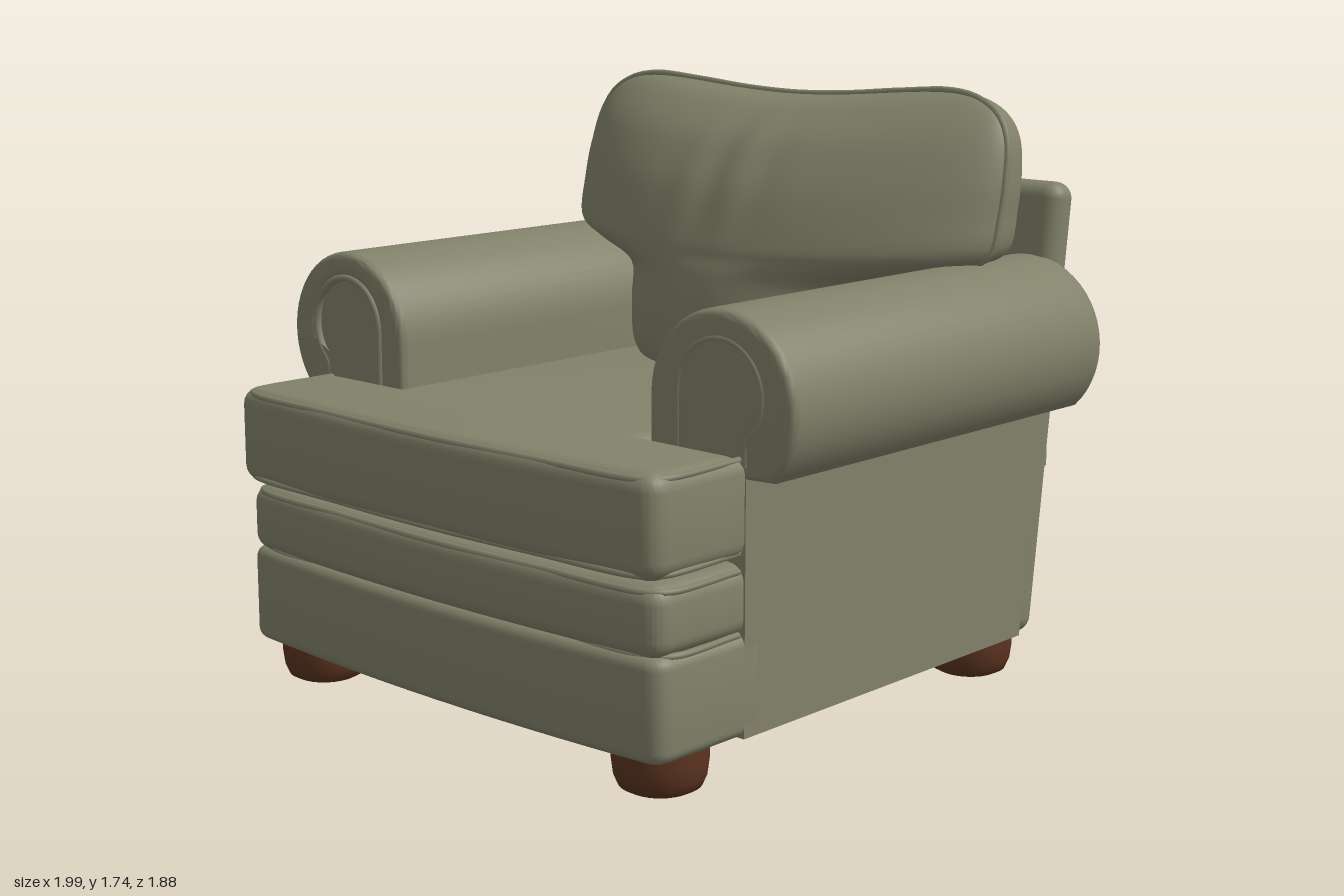
import * as THREE from 'three';
import { toCreasedNormals } from 'three/addons/utils/BufferGeometryUtils.js';
import { RoundedBoxGeometry } from 'three/addons/geometries/RoundedBoxGeometry.js';

export function createModel() {
  const chair = new THREE.Group();
  chair.name = 'armchair';
  const leather = new THREE.MeshStandardMaterial({ color: 0x82826b });
  leather.name = 'sage leather';
  const wood = new THREE.MeshStandardMaterial({ color: 0x5c3420 });
  wood.name = 'brown wood';

  const add = (name, geo, mat = leather) => {
    const mesh = new THREE.Mesh(geo, mat);
    mesh.name = name;
    chair.add(mesh);
    return mesh;
  };
  const v3 = (x, y, z) => new THREE.Vector3(x, y, z);
  const piping = (name, pts, r = 0.01) =>
    add(name, new THREE.TubeGeometry(new THREE.CatmullRomCurve3(pts), 80, r, 6));

  // Extrusion whose rounded edges stay inside the outline
  const padded = (shape, length, b) => toCreasedNormals(new THREE.ExtrudeGeometry(shape, {
    depth: length - 2 * b, bevelThickness: b, bevelSize: b, bevelOffset: -b,
    bevelSegments: 5, curveSegments: 24,
  }).translate(0, 0, b), 0.7);
  // Horizontal pad: outline in x/z, from y0 up to y1
  const pad = (name, shape, y0, y1, b) =>
    add(name, padded(shape, y1 - y0, b).rotateX(Math.PI / 2).translate(0, y1, 0));

  // Plan outline with a gently bowed front; tail = half-width of the part behind the arms
  const plan = (w, zBack, zFront, tail, zTail) => {
    const s = new THREE.Shape();
    if (tail) {
      s.moveTo(-tail, zTail).lineTo(tail, zTail).lineTo(tail, zBack);
    } else s.moveTo(-w, zBack);
    s.lineTo(w, zBack).lineTo(w, zFront - 0.1);
    s.quadraticCurveTo(w, zFront - 0.045, w - 0.05, zFront - 0.035);
    s.quadraticCurveTo(0, zFront + 0.035, -w + 0.05, zFront - 0.035);
    s.quadraticCurveTo(-w, zFront - 0.045, -w, zFront - 0.1);
    s.lineTo(-w, zBack);
    if (tail) s.lineTo(-tail, zBack);
    s.closePath();
    return s;
  };

  // Body with raked back, drawn in z/y and extruded across
  const side = new THREE.Shape([[0.55, 0.12], [-0.7, 0.12], [-0.8, 0.84], [0.55, 0.84]]
    .map(([z, y]) => new THREE.Vector2(z, y)));
  add('body', new THREE.ExtrudeGeometry(side, { depth: 1.66, bevelEnabled: false })
    .rotateY(-Math.PI / 2).translate(0.83, 0, 0));

  // Back panel
  const back = add('backPanel', new RoundedBoxGeometry(1.66, 1.355, 0.11, 5, 0.05));
  back.position.set(0, 0.79, -0.807);
  back.rotation.x = -0.12;

  // Front rolls and T-shaped seat cushion
  pad('lowerFrontPanel', plan(0.83, 0.5, 0.915), 0.12, 0.405, 0.035);
  pad('upperFrontRoll', plan(0.825, 0.5, 0.915), 0.395, 0.59, 0.05);
  pad('seatCushion', plan(0.835, 0.56, 0.94, 0.49, -0.6), 0.605, 0.885, 0.05);

  // Piping around the front edges
  [[0.868, 0.94], [0.622, 0.94], [0.573, 0.915], [0.402, 0.9]].forEach(([y, z]) => {
    const half = [[0.815, 0.56], [0.815, z - 0.1], [0.775, z - 0.055], [0.4, z - 0.03]];
    piping('frontPiping', [
      ...half.map(([x, pz]) => v3(-x, y, pz)),
      v3(0, y, z - 0.017),
      ...half.reverse().map(([x, pz]) => v3(x, y, pz)),
    ]);
  });

  // Rolled arms with an arched front panel set into a padded band
  for (const s of [1, -1]) {
    const label = s > 0 ? 'left' : 'right';
    const arch = (cx, cy, r, end, before, after) => {
      const pts = [...before];
      for (let i = 0; i <= 32; i++) {
        const a = Math.PI + (end - Math.PI) * i / 32;
        pts.push([cx + r * Math.cos(a), cy + r * Math.sin(a)]);
      }
      return [...pts, ...after].map(([x, y]) => new THREE.Vector2(s * x, y));
    };
    const outer = arch(0.745, 1.0, 0.252, -0.8, [[0.493, 0.62]], [[0.825, 0.815], [0.825, 0.62]]);
    const inner = arch(0.745, 1.03, 0.145, -0.6, [[0.6, 0.85]], [[0.835, 0.91], [0.835, 0.85]]);
    const roll = new THREE.Shape(outer);
    roll.holes.push(new THREE.Path(inner));
    add(label + 'Arm', padded(roll, 1.4, 0.025).translate(0, 0, -0.84));
    const panel = new THREE.ExtrudeGeometry(new THREE.Shape(arch(0.745, 1.03, 0.175, -0.6,
      [[0.57, 0.82]], [[0.82, 0.88], [0.82, 0.82]])), { depth: 1.36, bevelEnabled: false });
    add(label + 'ArmPanel', toCreasedNormals(panel, 0.7).translate(0, 0, -0.82));
    piping(label + 'ArmPiping', inner.map(p => v3(p.x, p.y, 0.552)), 0.012);
  }

  // Back cushion rows: y, half-width, front z, back z, seam z
  const rows = [
    [0.84, 0.44, -0.22, -0.70, -0.48], [0.92, 0.50, -0.165, -0.74, -0.49],
    [1.05, 0.51, -0.15, -0.76, -0.50], [1.17, 0.53, -0.17, -0.78, -0.51],
    [1.23, 0.71, -0.19, -0.79, -0.52], [1.28, 0.805, -0.205, -0.80, -0.53],
    [1.40, 0.82, -0.255, -0.81, -0.555], [1.50, 0.82, -0.31, -0.82, -0.575],
    [1.60, 0.805, -0.38, -0.815, -0.60], [1.67, 0.765, -0.46, -0.785, -0.615],
    [1.715, 0.69, -0.54, -0.735, -0.625], [1.733, 0.59, -0.63, -0.63, -0.63],
  ];
  const curveA = new THREE.CatmullRomCurve3(rows.map(r => v3(r[0], r[1], r[2])), false, 'catmullrom');
  const curveB = new THREE.CatmullRomCurve3(rows.map(r => v3(r[3], r[4], 0)), false, 'catmullrom');
  const N = 160, M = 55, pos = [], idx = [];
  const sag = (y, u) => y - 0.035 * (1 - u * u) ** 2 * THREE.MathUtils.smoothstep(y, 1.4, 1.72);
  for (let j = 0; j <= M; j++) {
    const { x: y, y: w, z: front } = curveA.getPoint(j / M);
    const { x: rear, y: seam } = curveB.getPoint(j / M);
    for (let i = 0; i < N; i++) {
      const t = i / N * Math.PI * 2, u = Math.cos(t), x = u * w;
      let z;
      if (Math.sin(t) >= 0) {
        // Soft creases running down the middle
        const fold = 0.009 * Math.sin(30 * x) * Math.exp(-((x / 0.18) ** 2) - ((y - 1.5) / 0.16) ** 2);
        z = seam + (front - seam) * Math.max(0, 1 - u * u) ** 0.65 + fold;
      } else z = seam + (rear - seam) * Math.sqrt(Math.max(0, 1 - u ** 8));
      pos.push(x, sag(y, u), z);
      if (j < M) {
        const a = j * N + i, b = j * N + (i + 1) % N;
        idx.push(a, a + N, b, b, a + N, b + N);
      }
    }
  }
  const pillow = new THREE.BufferGeometry();
  pillow.setAttribute('position', new THREE.Float32BufferAttribute(pos, 3));
  pillow.setIndex(idx);
  pillow.computeVertexNormals();
  add('backCushion', pillow);

  // Seam piping over the cushion's sides and top
  const edge = rows.slice(4).map(r => [r[1], r[0], r[4]]);
  const top = [-0.4, -0.2, 0, 0.2, 0.4].map(x => v3(x, sag(1.733, x / 0.59), -0.63));
  piping('backCushionPiping', [
    ...edge.map(([x, y, z]) => v3(-x, y, z)), ...top,
    ...edge.reverse().map(([x, y, z]) => v3(x, y, z)),
  ], 0.011);

  // Turned bun feet
  const footProfile = [[0, 0], [0.09, 0], [0.112, 0.012], [0.124, 0.04], [0.13, 0.085], [0.128, 0.13], [0, 0.13]]
    .map(([x, y]) => new THREE.Vector2(x, y));
  for (const x of [-0.685, 0.685]) for (const z of [0.715, -0.645]) {
    add('foot', toCreasedNormals(new THREE.LatheGeometry(footProfile, 32), 0.8), wood).position.set(x, 0, z);
  }
  return chair;
}
